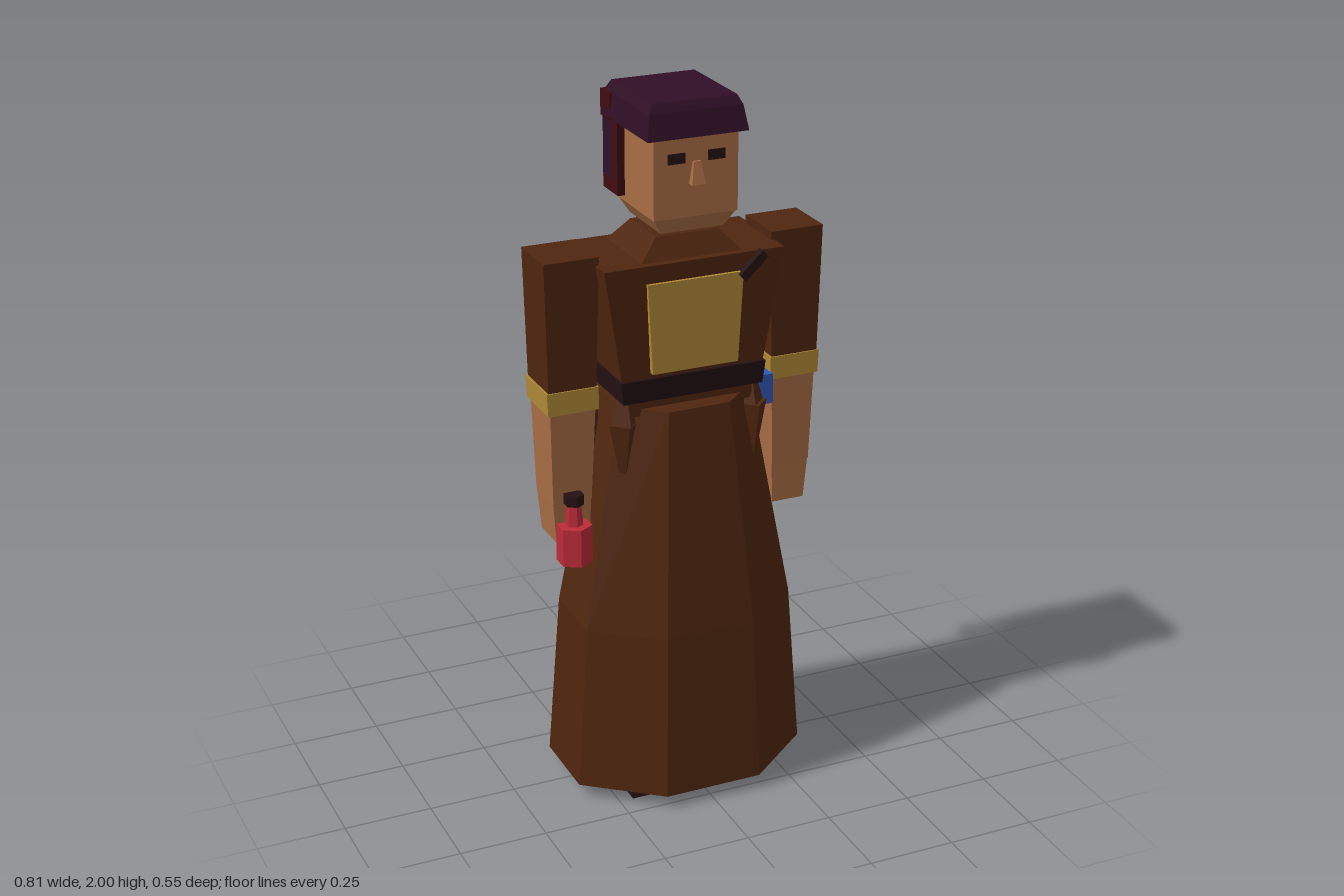
import * as THREE from 'three';

const mat = (name, color) => {
  const m = new THREE.MeshStandardMaterial({ color, flatShading: true });
  m.name = name;
  return m;
};

// Closed solid through rings of [x, y, z] points, counterclockwise seen from above, bottom ring first
function loft(rings) {
  const pos = [];
  const tri = (a, b, c) => pos.push(...a, ...b, ...c);
  const n = rings[0].length;
  for (let r = 0; r < rings.length - 1; r++) {
    const lo = rings[r], hi = rings[r + 1];
    for (let i = 0; i < n; i++) {
      const j = (i + 1) % n;
      tri(lo[i], lo[j], hi[j]);
      tri(lo[i], hi[j], hi[i]);
    }
  }
  const bottom = rings[0], top = rings[rings.length - 1];
  for (let i = 1; i < n - 1; i++) {
    tri(top[0], top[i], top[i + 1]);
    tri(bottom[0], bottom[i + 1], bottom[i]);
  }
  const g = new THREE.BufferGeometry();
  g.setAttribute('position', new THREE.Float32BufferAttribute(pos, 3));
  g.computeVertexNormals();
  return g;
}

// Rectangular ring at height y
const rect = (y, x0, x1, z0, z1) => [[x0, y, z1], [x1, y, z1], [x1, y, z0], [x0, y, z0]];
// Octagonal ring: full half sizes x, z and the corner offsets cx, cz
const oct = (y, x, z, cx, cz) => [
  [-cx, y, z], [cx, y, z], [x, y, cz], [x, y, -cz],
  [cx, y, -z], [-cx, y, -z], [-x, y, -cz], [-x, y, cz],
];

export function createModel() {
  const robe = mat('robe brown', 0x4f260f);
  const skin = mat('skin', 0xa96d44);
  const gold = mat('gold cloth', 0xb08a36);
  const dark = mat('dark leather', 0x241012);
  const hair = mat('purple hair', 0x300f26);
  const band = mat('dark red hair', 0x400c10);
  const blue = mat('blue', 0x2f58b8);
  const red = mat('red glass', 0xbd2c38);

  const model = new THREE.Group();
  model.name = 'robedFigure';
  const add = (name, geo, m, parent = model) => {
    const mesh = new THREE.Mesh(geo, m);
    mesh.name = name;
    parent.add(mesh);
    return mesh;
  };
  const block = (name, m, x0, x1, y0, y1, z0, z1, parent) =>
    add(name, loft([rect(y0, x0, x1, z0, z1), rect(y1, x0, x1, z0, z1)]), m, parent);

  // Skirt, waist, belt and upper body
  add('skirt', loft([
    oct(0.04, 0.345, 0.275, 0.143, 0.115),
    oct(0.52, 0.31, 0.25, 0.13, 0.105),
    oct(1.16, 0.195, 0.167, 0.09, 0.07),
  ]), robe);
  block('waist', robe, -0.18, 0.18, 1.14, 1.2, -0.115, 0.115);
  add('belt', loft([rect(1.185, -0.205, 0.205, -0.13, 0.13), rect(1.25, -0.212, 0.212, -0.135, 0.135)]), dark);
  add('torso', loft([rect(1.19, -0.198, 0.198, -0.122, 0.122), rect(1.57, -0.26, 0.26, -0.14, 0.14)]), robe);
  add('collar', loft([rect(1.565, -0.15, 0.15, -0.12, 0.12), rect(1.628, -0.09, 0.09, -0.085, 0.085)]), robe);
  add('chestPanel', loft([
    rect(1.265, -0.125, 0.125, 0.12, 0.143),
    rect(1.52, -0.14, 0.137, 0.13, 0.147),
  ]), gold);
  const pin = add('chestPin', new THREE.BoxGeometry(0.09, 0.025, 0.025), dark);
  pin.position.set(0.163, 1.535, 0.147);
  pin.rotation.z = 0.75;

  // Arms and the things that come in pairs
  for (const s of [1, -1]) {
    const side = s > 0 ? 'left' : 'right';
    const part = (name, m, lo, hi) => {
      const [a, b] = [lo, hi].map(([y, x0, x1, z]) =>
        s > 0 ? rect(y, x0, x1, -z, z) : rect(y, -x1, -x0, -z, z));
      add(side + name, loft([a, b]), m);
    };
    part('Sleeve', robe, [1.22, 0.26, 0.397, 0.075], [1.593, 0.25, 0.405, 0.08]);
    part('Cuff', gold, [1.165, 0.255, 0.4, 0.079], [1.23, 0.255, 0.403, 0.079]);
    part('Forearm', skin, [0.9, 0.273, 0.385, 0.063], [1.17, 0.262, 0.392, 0.072]);
    part('Hand', skin, [0.78, 0.278, 0.375, 0.056], [0.905, 0.273, 0.385, 0.06]);

    const x0 = s > 0 ? 0.035 : -0.21;
    add(side + 'Boot', loft([
      rect(0, x0, x0 + 0.175, -0.115, 0.185),
      rect(0.06, x0, x0 + 0.175, -0.115, 0.165),
    ]), dark);

    // Pointed cloth tails hanging from the belt
    for (const z of [-0.09, 0.09]) {
      const tail = add(side + 'BeltTail', new THREE.CylinderGeometry(0.02, 0.042, 0.07, 4), robe);
      tail.position.set(s * 0.185, 1.155, z);
      const tip = add(side + 'BeltTailTip', new THREE.ConeGeometry(0.042, 0.22, 4), robe);
      tip.rotation.x = Math.PI;
      tip.position.set(s * 0.192, 1.01, z * 1.1);
    }
    block(side + 'Eye', dark, s * 0.057 - 0.024, s * 0.057 + 0.024, 1.838, 1.865, 0.137, 0.145);
  }

  // Pouches
  block('bluePouch', blue, 0.19, 0.258, 1.1, 1.187, 0.02, 0.09);
  add('beltBag', loft([rect(1.01, -0.3, -0.21, -0.13, -0.04), rect(1.185, -0.298, -0.21, -0.135, -0.04)]), robe);

  // Bottle in the right hand
  const bottle = new THREE.Group();
  bottle.name = 'bottle';
  bottle.position.set(-0.332, 0, 0.079);
  model.add(bottle);
  const turned = (name, m, r0, r1, y0, y1) => {
    add(name, new THREE.CylinderGeometry(r1, r0, y1 - y0, 6), m, bottle).position.y = (y0 + y1) / 2;
  };
  turned('bottleBody', red, 0.05, 0.05, 0.73, 0.84);
  turned('bottleNeck', red, 0.025, 0.02, 0.84, 0.905);
  turned('cork', dark, 0.028, 0.028, 0.9, 0.93);

  // Head
  block('neck', skin, -0.052, 0.052, 1.6, 1.67, -0.05, 0.06);
  add('jaw', loft([rect(1.645, -0.09, 0.09, -0.09, 0.115), rect(1.695, -0.12, 0.12, -0.11, 0.138)]), skin);
  block('face', skin, -0.12, 0.12, 1.69, 1.94, -0.13, 0.14);
  add('nose', loft([rect(1.78, -0.02, 0.02, 0.13, 0.16), rect(1.84, -0.01, 0.01, 0.13, 0.148)]), skin);

  // Hair: cap, back block, dark red bands around it and a tail
  add('hairCap', loft([
    rect(1.908, -0.143, 0.143, -0.15, 0.157),
    rect(1.975, -0.132, 0.132, -0.15, 0.143),
    rect(2, -0.12, 0.12, -0.135, 0.13),
  ]), hair);
  block('backHair', hair, -0.137, 0.137, 1.71, 1.92, -0.157, -0.075);
  for (const s of [1, -1]) {
    block('hairSideBand', band, s * 0.13 - 0.011, s * 0.13 + 0.011, 1.71, 1.91, -0.085, -0.05);
    block('hairLowerBand', band, s * 0.13 - 0.01, s * 0.13 + 0.01, 1.706, 1.74, -0.15, -0.05);
  }
  block('hairUpperBand', band, -0.14, 0.14, 1.9, 1.972, -0.165, -0.1);
  add('hairTail', loft([
    rect(1.42, -0.016, 0.022, -0.208, -0.178),
    rect(1.68, -0.028, 0.03, -0.198, -0.125),
    rect(1.77, -0.033, 0.04, -0.19, -0.15),
  ]), band);
  block('hairTailTip', hair, -0.02, 0.028, 1.39, 1.432, -0.216, -0.172);

  return model;
}
